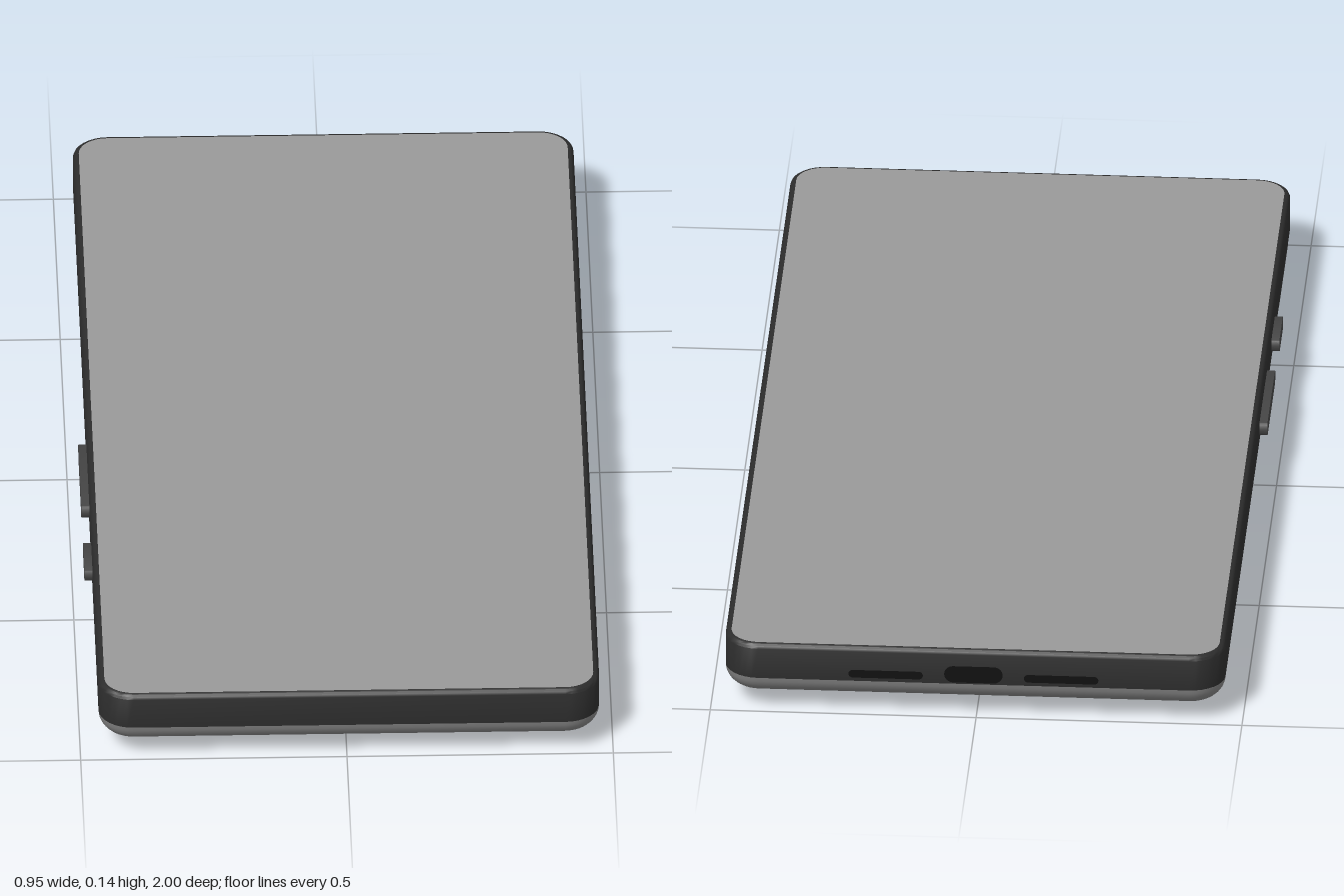
import * as THREE from 'three';
import { toCreasedNormals } from 'three/addons/utils/BufferGeometryUtils.js';

const CX = 0.005, HALF_W = 0.47, HALF_L = 1, CORNER = 0.065, STEPS = 8;

// Rounded-rectangle outline, inset from the full body size
function ring(y, inset) {
  const r = Math.max(CORNER - inset, 0.012);
  const points = [];
  for (let q = 0; q < 4; q++) {
    const sx = q === 0 || q === 3 ? 1 : -1;
    const sz = q < 2 ? 1 : -1;
    for (let i = 0; i <= STEPS; i++) {
      const a = (q + i / STEPS) * Math.PI / 2;
      points.push([
        CX + sx * (HALF_W - inset - r) + r * Math.cos(a), y,
        sz * (HALF_L - inset - r) + r * Math.sin(a),
      ]);
    }
  }
  return points;
}

// Skin over [y, inset] levels from bottom to top, with optional flat caps
function loft(levels, capBottom, capTop) {
  const rings = levels.map(([y, inset]) => ring(y, inset));
  const n = rings[0].length, v = [];
  const first = levels[0][0], last = levels[levels.length - 1][0];
  const top = rings[rings.length - 1];
  for (let i = 0; i < n; i++) {
    const j = (i + 1) % n;
    for (let k = 0; k < rings.length - 1; k++) {
      const a = rings[k][i], b = rings[k][j], c = rings[k + 1][i], d = rings[k + 1][j];
      v.push(...a, ...c, ...b, ...b, ...c, ...d);
    }
    if (capBottom) v.push(CX, first, 0, ...rings[0][i], ...rings[0][j]);
    if (capTop) v.push(CX, last, 0, ...top[j], ...top[i]);
  }
  const geometry = new THREE.BufferGeometry();
  geometry.setAttribute('position', new THREE.Float32BufferAttribute(v, 3));
  return toCreasedNormals(geometry, 0.6);
}

// Stadium outline used for the port and slots
function pill(w, h) {
  const r = h / 2, s = new THREE.Shape();
  s.absarc(w / 2 - r, 0, r, -Math.PI / 2, Math.PI / 2);
  s.absarc(-w / 2 + r, 0, r, Math.PI / 2, Math.PI * 1.5);
  return s;
}

export function createModel() {
  const group = new THREE.Group();
  const mat = (color) => new THREE.MeshStandardMaterial({ color });
  const dark = mat(0x2c2c2c), black = mat(0x101010), grey = mat(0x808080);
  const add = (name, geometry, material, x = 0, y = 0, z = 0) => {
    const mesh = new THREE.Mesh(geometry, material);
    mesh.name = name;
    mesh.position.set(x, y, z);
    group.add(mesh);
    return mesh;
  };

  // Side frame with a softened top rim
  add('frame', loft([[0.07, 0], [0.131, 0], [0.136, 0.002], [0.139, 0.006], [0.14, 0.011]]), dark);
  add('screen', loft([[0.138, 0.011], [0.14, 0.011]], false, true), mat(0x999999));

  // Back shell curving in to a flat underside
  const curve = [];
  for (let i = 0; i <= 8; i++) {
    const a = (i / 8) * Math.PI / 2;
    curve.push([0.07 - 0.04 * Math.cos(a), 0.05 * (1 - Math.sin(a))]);
  }
  add('backShell', loft(curve, true, false), grey);

  // Raised camera bar across the back with curved ends
  const bar = new THREE.Shape();
  bar.moveTo(-HALF_W, 0.07);
  bar.absellipse(-HALF_W + 0.075, 0.07, 0.075, 0.069, Math.PI, Math.PI * 1.5);
  bar.absellipse(HALF_W - 0.075, 0.07, 0.075, 0.069, Math.PI * 1.5, Math.PI * 2);
  bar.closePath();
  const barGeometry = new THREE.ExtrudeGeometry(bar, { depth: 0.25, bevelEnabled: false, curveSegments: 10 });
  add('cameraBar', toCreasedNormals(barGeometry, 0.6), mat(0x505050), CX, 0, 0.625);
  add('cameraGlass', new THREE.BoxGeometry(0.79, 0.004, 0.235), black, CX, 0.002, 0.75);

  // Side buttons
  for (const [name, z0, z1] of [['volumeButton', 0.04, 0.275], ['powerButton', 0.39, 0.5]]) {
    const shape = pill(z1 - z0, 0.028);
    const geometry = new THREE.ExtrudeGeometry(shape, { depth: 0.025, bevelEnabled: false });
    const button = add(name, toCreasedNormals(geometry, 0.6), mat(0x444444), -0.455, 0.094, (z0 + z1) / 2);
    button.rotation.y = -Math.PI / 2;
  }

  // Charging port and the slots beside it
  for (const [name, x, y, w, h] of [
    ['chargingPort', 0, 0.09, 0.11, 0.034],
    ['speakerSlot', 0.165, 0.085, 0.14, 0.016],
    ['microphoneSlot', -0.165, 0.085, 0.14, 0.016],
  ]) {
    const opening = add(name, new THREE.ShapeGeometry(pill(w, h)), black, CX + x, y, -1.0005);
    opening.rotation.y = Math.PI;
  }
  return group;
}
